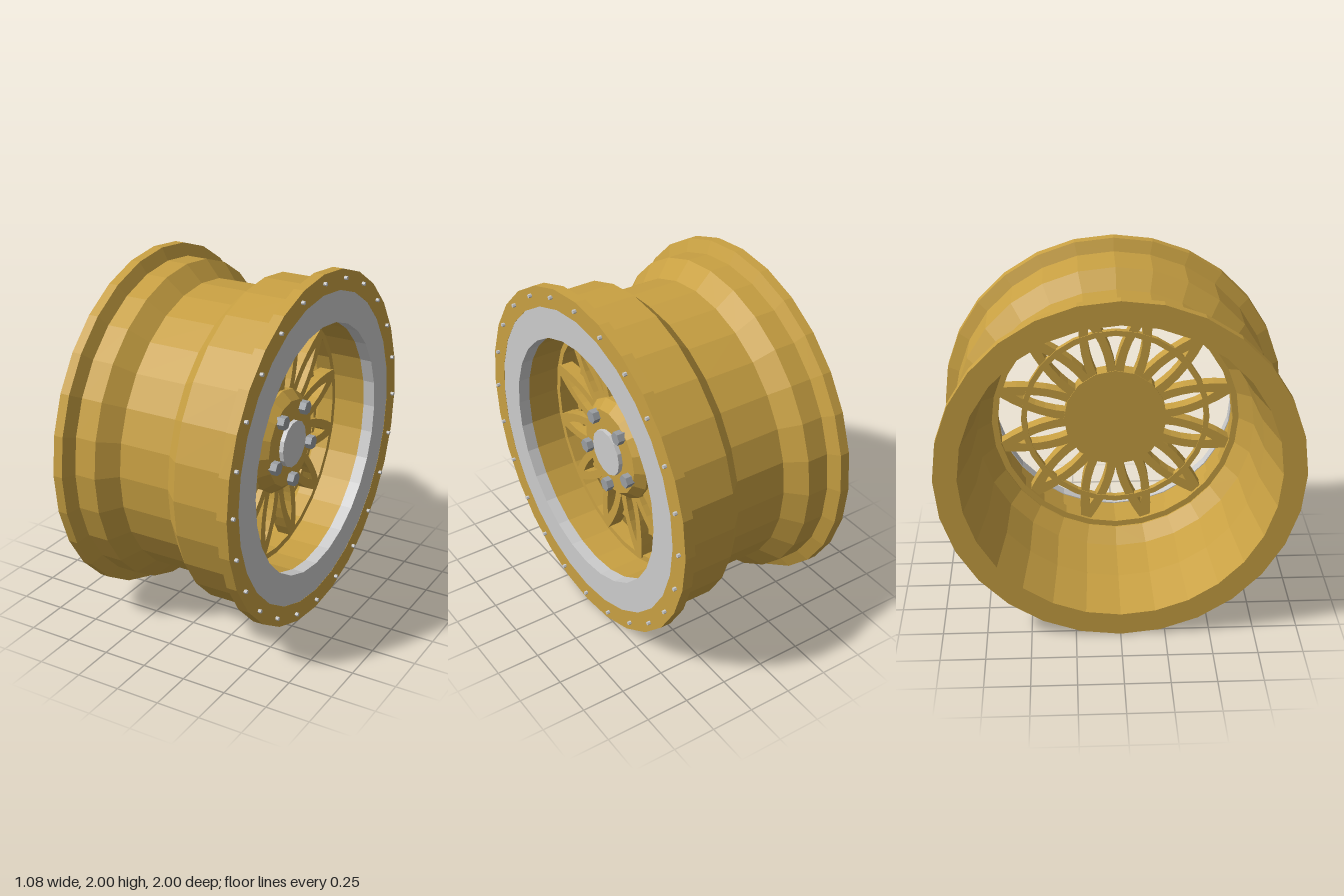
import * as THREE from 'three';

const gold = new THREE.MeshStandardMaterial({ color: 0xc8a042, flatShading: true });
const silver = new THREE.MeshStandardMaterial({ color: 0xf2f2f2, flatShading: true });
const steel = new THREE.MeshStandardMaterial({ color: 0x9a9ea2, flatShading: true });

export function createModel() {
  const model = new THREE.Group();
  model.name = 'wheel';
  const wheel = new THREE.Group();
  wheel.name = 'wheelAssembly';
  wheel.position.y = 1;
  model.add(wheel);

  const add = (name, geometry, material) => {
    const mesh = new THREE.Mesh(geometry, material);
    mesh.name = name;
    wheel.add(mesh);
    return mesh;
  };

  // Revolves [x, radius] points round the x axis
  const turned = (name, profile, sides, material) => {
    const g = new THREE.LatheGeometry(profile.map(([x, r]) => new THREE.Vector2(r, x)), sides);
    return add(name, g.rotateZ(-Math.PI / 2), material);
  };

  // Cylinder along x, from x0 to x1, at a radius and angle from the top
  const stud = (name, x0, x1, size, sides, material, radius = 0, angle = 0) => {
    const g = new THREE.CylinderGeometry(size, size, x1 - x0, sides).rotateZ(-Math.PI / 2);
    const mesh = add(name, g, material);
    mesh.position.set((x0 + x1) / 2, radius * Math.cos(angle), radius * Math.sin(angle));
  };

  // Barrel: flanges and drop centre outside, then the bore back to the rear
  turned('barrel', [
    [-0.54, 0.87], [-0.54, 1], [-0.485, 1], [-0.45, 0.93], [-0.325, 0.93], [-0.23, 0.835],
    [0.07, 0.835], [0.165, 0.93], [0.43, 0.93], [0.46, 1], [0.52, 1], [0.52, 0.885],
    [0.45, 0.885], [0.45, 0.715], [0.16, 0.715], [0.07, 0.79], [-0.23, 0.81], [-0.54, 0.87],
  ], 28, gold);

  // Bright face of the front lip
  turned('lipFace', [[0.45, 0.885], [0.519, 0.885], [0.519, 0.71], [0.45, 0.71], [0.45, 0.885]], 28, silver);

  // Rings that carry the spokes
  const band = (name, x0, x1, inner, outer) =>
    turned(name, [[x0, inner], [x0, outer], [x1, outer], [x1, inner], [x0, inner]], 28, gold);
  band('spokeSeatRing', 0.17, 0.26, 0.68, 0.72);
  band('rearBraceRing', 0.185, 0.22, 0.515, 0.547);

  // Leaf-shaped spokes: two curved arms that join at the tip
  const leaf = new THREE.Shape();
  leaf.moveTo(-0.08, 0.27);
  leaf.lineTo(0.08, 0.27);
  leaf.quadraticCurveTo(0.105, 0.47, 0.028, 0.69);
  leaf.lineTo(-0.028, 0.69);
  leaf.quadraticCurveTo(-0.105, 0.47, -0.08, 0.27);
  const opening = new THREE.Path();
  opening.moveTo(-0.028, 0.28);
  opening.quadraticCurveTo(-0.055, 0.45, 0, 0.59);
  opening.quadraticCurveTo(0.055, 0.45, 0.028, 0.28);
  opening.closePath();
  leaf.holes.push(opening);
  const leafGeometry = new THREE.ExtrudeGeometry(leaf, { depth: 0.08, bevelEnabled: false, curveSegments: 5 });
  leafGeometry.rotateY(Math.PI / 2).translate(0.19, 0, 0);
  for (let i = 0; i < 12; i++) {
    add('spoke', leafGeometry, gold).rotation.x = (i + 0.5) * Math.PI / 6;
  }

  // Hub with chamfered front, and its cap
  turned('hub', [[0.185, 0], [0.185, 0.3], [0.285, 0.3], [0.34, 0.25], [0.34, 0]], 16, gold);
  stud('centreCap', 0.32, 0.365, 0.135, 14, silver);

  // Lug nuts, the lowest one straight down
  for (let i = 0; i < 5; i++) {
    stud('lugNut', 0.325, 0.38, 0.04, 6, steel, 0.215, Math.PI + i * Math.PI * 2 / 5);
  }

  // Small bolts round the front flange
  for (let i = 0; i < 24; i++) {
    stud('rimBolt', 0.51, 0.538, 0.011, 6, silver, 0.95, i * Math.PI / 12);
  }
  return model;
}
